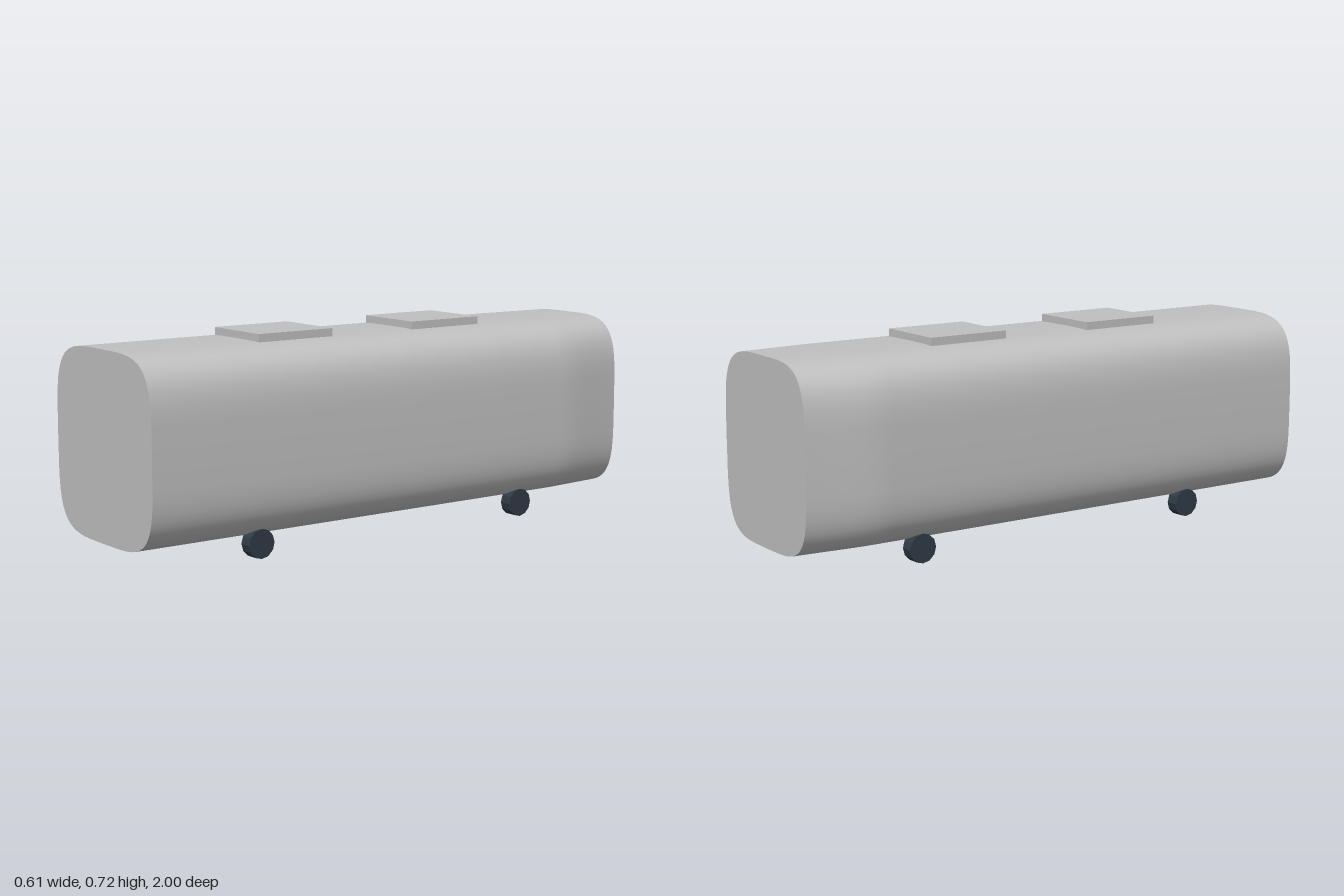
import * as THREE from 'three';

const SIDES = 64, POWER = 4.2, HALF_H = 0.317, CENTER_Y = 0.38;

// rounded-square cross-section, counter-clockwise seen from the front
function section(halfW) {
  const points = [];
  for (let i = 0; i < SIDES; i++) {
    const a = (i / SIDES) * Math.PI * 2, c = Math.cos(a), s = Math.sin(a);
    const bend = (v) => Math.sign(v) * Math.pow(Math.abs(v), 2 / POWER);
    points.push(new THREE.Vector2(halfW * bend(c), CENTER_Y + HALF_H * bend(s)));
  }
  return points;
}

// smooth skin through [z, halfWidth] stations running front to back
function skin(stations) {
  const pos = [], index = [];
  stations.forEach(([z, w]) => section(w).forEach((p) => pos.push(p.x, p.y, z)));
  for (let r = 0; r < stations.length - 1; r++) {
    for (let i = 0; i < SIDES; i++) {
      const a = r * SIDES + i, b = r * SIDES + (i + 1) % SIDES;
      index.push(a, a + SIDES, b, b, a + SIDES, b + SIDES);
    }
  }
  const geo = new THREE.BufferGeometry();
  geo.setAttribute('position', new THREE.Float32BufferAttribute(pos, 3));
  geo.setIndex(index);
  geo.computeVertexNormals();
  return geo;
}

export function createModel() {
  const model = new THREE.Group();
  const bodyGrey = new THREE.MeshStandardMaterial({ color: 0xc0c0c0 });
  bodyGrey.name = 'bodyGrey';
  const wheelDark = new THREE.MeshStandardMaterial({ color: 0x2f3b45, flatShading: true });
  wheelDark.name = 'wheelDark';

  const add = (name, geo, mat, x = 0, y = 0, z = 0) => {
    const mesh = new THREE.Mesh(geo, mat);
    mesh.name = name;
    mesh.position.set(x, y, z);
    model.add(mesh);
    return mesh;
  };

  // long hull, its sides drawn in towards the back
  const stations = [[1, 0.304], [0, 0.304], [-0.7, 0.304], [-0.75, 0.303],
    [-0.8, 0.298], [-0.87, 0.288], [-0.94, 0.278], [-1, 0.271]];
  add('hull', skin(stations), bodyGrey);

  // flat ends
  add('frontEnd', new THREE.ShapeGeometry(new THREE.Shape(section(0.304))), bodyGrey, 0, 0, 1);
  const back = add('backEnd', new THREE.ShapeGeometry(new THREE.Shape(section(0.271))), bodyGrey, 0, 0, -1);
  back.rotation.y = Math.PI;

  // roof boxes
  const box = new THREE.BoxGeometry(0.266, 0.03, 0.298);
  add('frontRoofBox', box, bodyGrey, 0, 0.707, 0.34);
  add('backRoofBox', box, bodyGrey, 0, 0.707, -0.3);

  // small wheels, partly tucked into the hull
  const wheel = new THREE.CylinderGeometry(0.05, 0.05, 0.045, 12).rotateZ(Math.PI / 2);
  for (const [end, z] of [['front', 0.56], ['back', -0.56]]) {
    for (const [side, x] of [['Left', 0.225], ['Right', -0.225]]) {
      add(end + side + 'Wheel', wheel, wheelDark, x, 0.05, z);
    }
  }
  return model;
}
